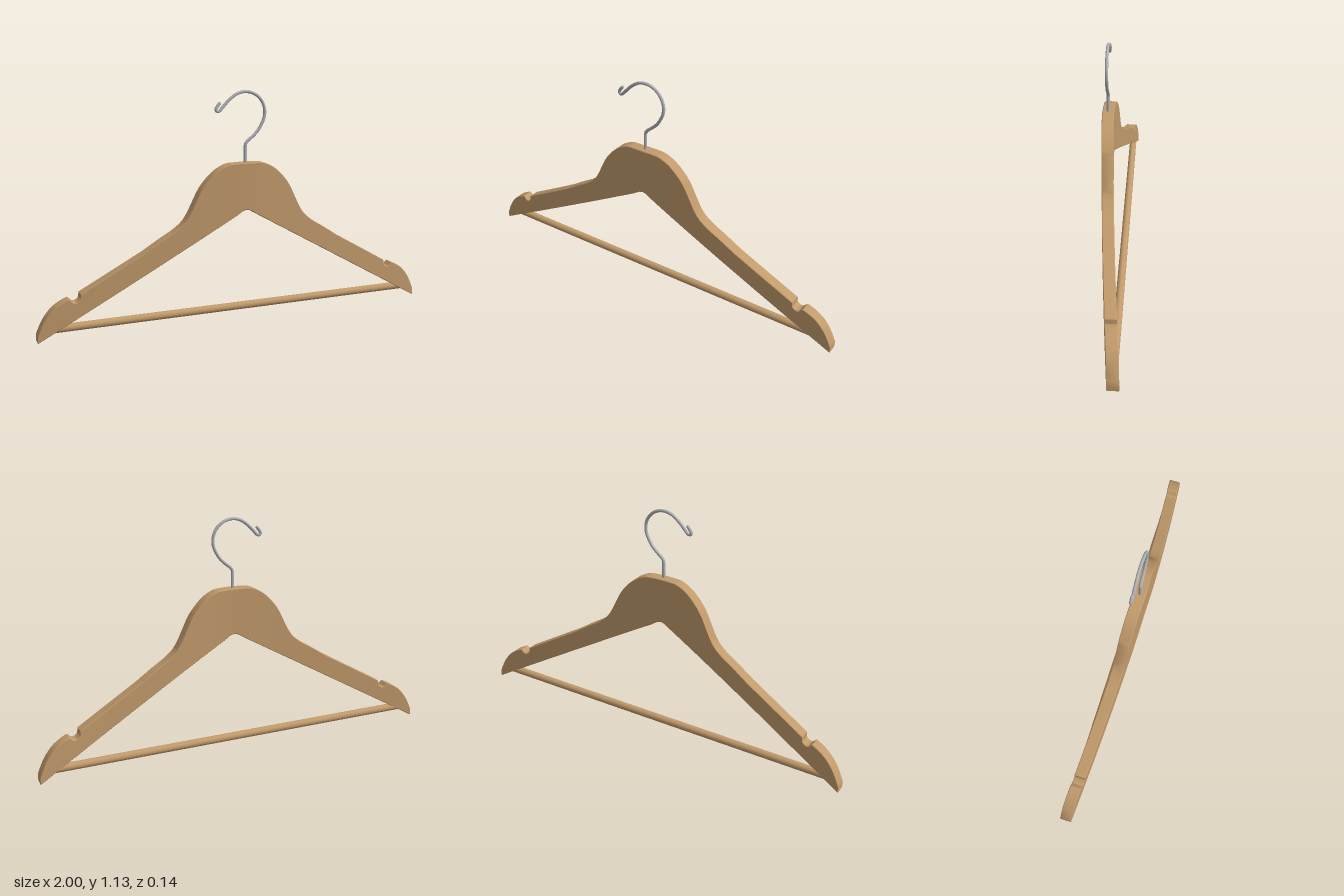
import * as THREE from 'three';
import { toCreasedNormals } from 'three/addons/utils/BufferGeometryUtils.js';

const v2 = (p) => new THREE.Vector2(p[0], p[1]);

// Upper outline of one arm: smooth hump, straight shoulder, strap notch, rounded tip
function upperOutline() {
  const hump = new THREE.SplineCurve([
    [0, 0.79], [0.05, 0.789], [0.095, 0.784], [0.15, 0.755], [0.2, 0.706], [0.23, 0.664], [0.255, 0.615],
    [0.285, 0.556], [0.315, 0.515], [0.365, 0.476], [0.42, 0.443], [0.5, 0.391],
  ].map(v2)).getPoints(44);
  const notch = [
    [0.6, 0.334], [0.7, 0.277], [0.8, 0.22], [0.802, 0.197], [0.81, 0.187], [0.822, 0.181],
    [0.834, 0.182], [0.843, 0.19], [0.85, 0.198],
  ].map(v2);
  const tip = new THREE.SplineCurve([
    [0.855, 0.199], [0.89, 0.182], [0.93, 0.152], [0.97, 0.1], [1, 0.035],
  ].map(v2)).getPoints(12);
  return [...hump, ...notch, ...tip];
}

// Lower edge: a straight slope with a small rounded apex
const lowerEdge = (x) => (x < 0.04 ? 0.563 - 11 * x * x : 0.545 - (x - 0.04) * 0.5677);

// The arms sweep backward toward the tips
const sweep = (x) => 0.042 - 0.084 * Math.pow(x, 1.35);

function bodyGeometry() {
  const half = upperOutline();
  const columns = [...half.slice(1).reverse().map((p) => new THREE.Vector2(-p.x, p.y)), ...half];
  const t = 0.028, c = 0.003;
  const positions = [], indices = [];

  // One finely chamfered rectangle per column
  for (const p of columns) {
    const ax = Math.abs(p.x), top = p.y, low = lowerEdge(ax), z = sweep(ax);
    const ring = [
      [low + c, -t], [top - c, -t], [top, -t + c], [top, t - c],
      [top - c, t], [low + c, t], [low, t - c], [low, -t + c],
    ];
    for (const [y, dz] of ring) positions.push(p.x, y, z + dz);
  }
  const n = 8, last = (columns.length - 1) * n;
  for (let s = 0; s < last; s += n) {
    for (let i = 0; i < n; i++) {
      const j = (i + 1) % n;
      indices.push(s + i, s + j, s + n + i, s + j, s + n + j, s + n + i);
    }
  }
  // Flat ends
  for (let i = 1; i < n - 1; i++) {
    indices.push(0, i + 1, i, last, last + i, last + i + 1);
  }
  const g = new THREE.BufferGeometry();
  g.setAttribute('position', new THREE.Float32BufferAttribute(positions, 3));
  g.setIndex(indices);
  return toCreasedNormals(g, 0.5);
}

// Wire hook: straight shank, round crook and a small curled-back end
function hookGeometry(r) {
  const path = new THREE.CurvePath();
  const at = (x, y) => new THREE.Vector3(x, y, 0.042);
  path.add(new THREE.LineCurve3(at(0, 0.76), at(0, 0.868)));
  const crook = [[0, 0.868], [0.003, 0.88], [0.014, 0.893], [0.04, 0.914], [0.066, 0.94]];
  for (let a = -30; a <= 120; a += 15) {
    const q = (a * Math.PI) / 180;
    crook.push([0.1 * Math.cos(q), 1.024 + 0.1 * Math.sin(q)]);
  }
  crook.push([-0.085, 1.084], [-0.112, 1.056], [-0.13, 1.038], [-0.142, 1.036],
    [-0.147, 1.046], [-0.14, 1.059], [-0.129, 1.073]);
  path.add(new THREE.CatmullRomCurve3(crook.map(([x, y]) => at(x, y))));
  return new THREE.TubeGeometry(path, 160, r, 12, false);
}

export function createModel() {
  const wood = new THREE.MeshStandardMaterial({ color: 0xc19a6b });
  wood.name = 'wood';
  const steel = new THREE.MeshStandardMaterial({ color: 0xb0b2b6 });
  steel.name = 'steel';

  const model = new THREE.Group();
  model.name = 'coatHanger';
  const add = (name, geometry, material) => {
    const mesh = new THREE.Mesh(geometry, material);
    mesh.name = name;
    model.add(mesh);
    return mesh;
  };

  add('shoulderBody', bodyGeometry(), wood);

  // Trouser bar between the arm tips
  const bar = add('trouserBar', new THREE.CylinderGeometry(0.019, 0.019, 1.89, 24), wood);
  bar.rotation.z = Math.PI / 2;
  bar.position.set(0, 0.053, -0.041);

  add('hook', hookGeometry(0.0075), steel);
  const end = add('hookEnd', new THREE.SphereGeometry(0.0075, 12, 8), steel);
  end.position.set(-0.129, 1.073, 0.042);

  return model;
}
